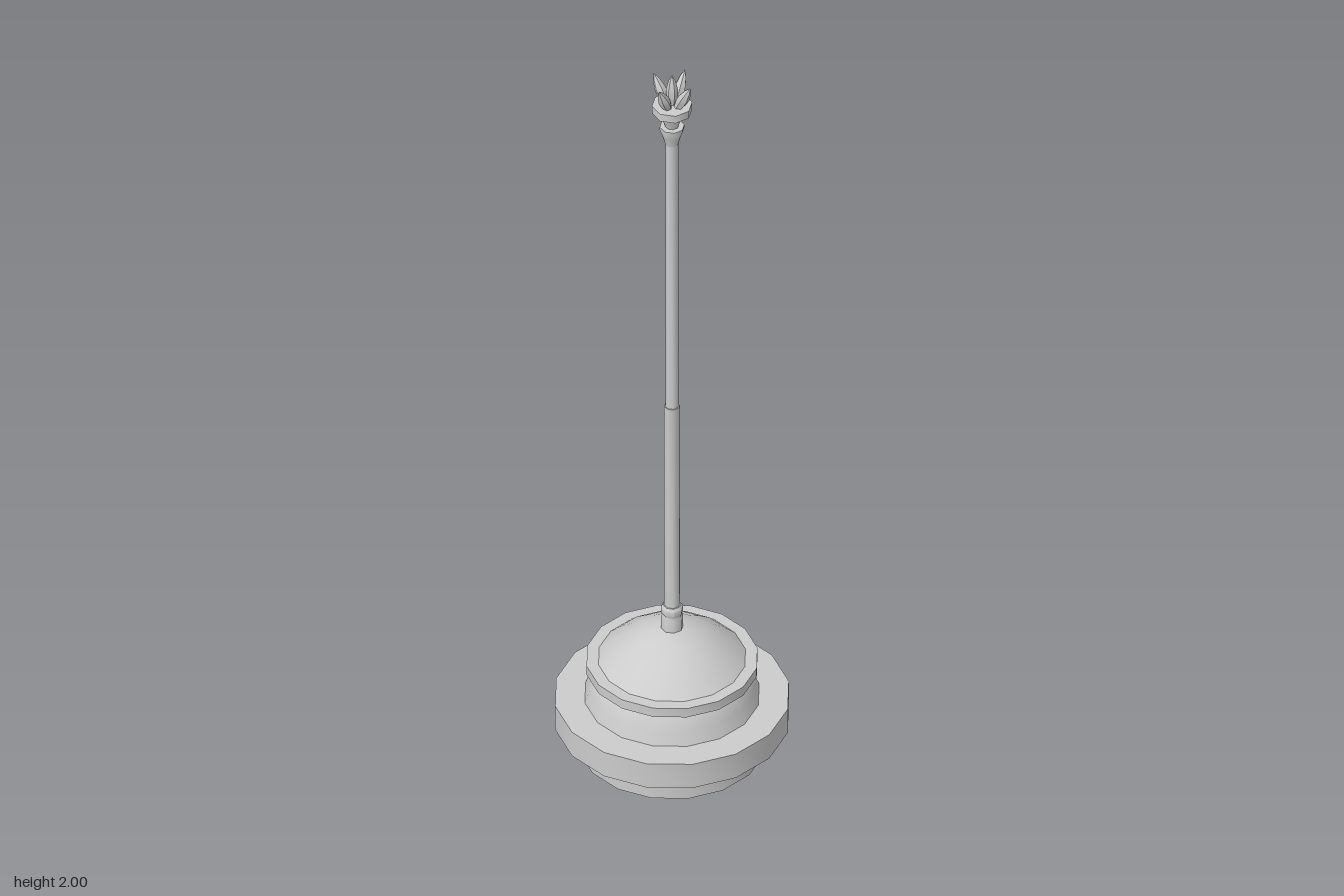
import * as THREE from 'three';
import { toCreasedNormals } from 'three/addons/utils/BufferGeometryUtils.js';

const material = new THREE.MeshStandardMaterial({ color: 0xcccccc, side: THREE.DoubleSide });

// Turned part from [radius, height] pairs; crease keeps rims sharp and walls smooth
function turned(name, sides, profile) {
  const lathe = new THREE.LatheGeometry(profile.map(([r, y]) => new THREE.Vector2(r, y)), sides);
  const mesh = new THREE.Mesh(toCreasedNormals(lathe, 0.85), material);
  mesh.name = name;
  return mesh;
}

export function createModel() {
  const group = new THREE.Group();
  group.name = 'poleOnDomedBase';

  // Hollow base: lower skirt, wide band and inner ledge
  group.add(turned('baseSkirt', 16, [[0.225, 0], [0.225, 0.075]]));
  group.add(turned('baseBand', 16, [[0.225, 0.075], [0.283, 0.075], [0.283, 0.146], [0.21, 0.146]]));
  group.add(turned('innerLedge', 16, [[0.15, 0.1], [0.225, 0.1]]));

  // Dome wall, flange and rounded cap
  group.add(turned('domeWall', 16, [[0.213, 0.14], [0.2, 0.18], [0.187, 0.212], [0.172, 0.232]]));
  group.add(turned('flange', 16, [[0.165, 0.23], [0.207, 0.23], [0.207, 0.256], [0.17, 0.256]]));
  group.add(turned('cap', 16, [
    [0.178, 0.256], [0.155, 0.278], [0.115, 0.308], [0.077, 0.332], [0.035, 0.346], [0, 0.35],
  ]));

  // Collar and two-stage pole
  group.add(turned('collar', 8, [
    [0.027, 0.34], [0.027, 0.38], [0.024, 0.388], [0.027, 0.394], [0.027, 0.408], [0.022, 0.415], [0, 0.415],
  ]));
  group.add(turned('lowerPole', 8, [[0.019, 0.4], [0.019, 1.01], [0, 1.01]]));
  group.add(turned('upperPole', 8, [[0.016, 1.0], [0.016, 1.82]]));

  // Finial: flared cup, neck and plate
  group.add(turned('finialCup', 8, [[0.016, 1.795], [0.023, 1.82], [0.03, 1.84], [0.03, 1.848], [0, 1.848]]));
  group.add(turned('finialNeck', 8, [[0.015, 1.845], [0.022, 1.865], [0.03, 1.892]]));
  group.add(turned('finialPlate', 8, [[0, 1.892], [0.049, 1.892], [0.049, 1.913], [0, 1.913]]));

  // Upright bud with four buds leaning outward
  const bud = [[0, 0], [0.009, 0.003], [0.014, 0.03], [0.014, 0.048], [0.008, 0.072], [0, 0.088]];
  const centre = turned('centreBud', 6, bud);
  centre.position.y = 1.912;
  group.add(centre);
  for (let i = 0; i < 4; i++) {
    const arm = new THREE.Group();
    arm.name = 'outerBud' + (i + 1);
    arm.rotation.y = (i * Math.PI) / 2;
    const petal = turned('budPetal', 6, bud);
    petal.position.set(0.014, 1.905, 0);
    petal.rotation.z = -0.47;
    arm.add(petal);
    group.add(arm);
  }
  return group;
}
